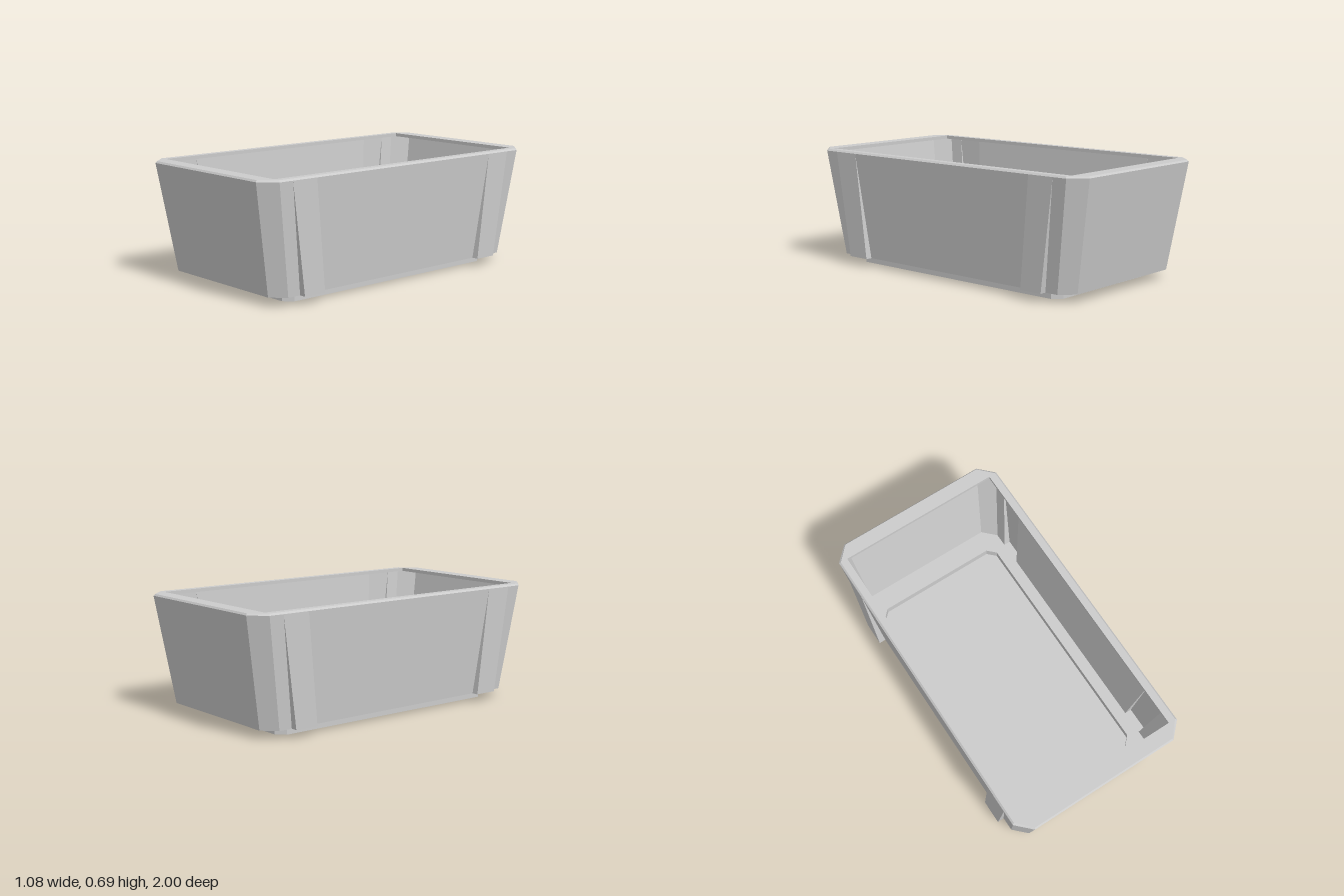
import * as THREE from 'three';

const material = new THREE.MeshStandardMaterial({ color: 0xcccccc, flatShading: true, side: THREE.DoubleSide });

// Mirrors one quarter outline (x, z > 0) into a full counterclockwise loop
function mirrorQuarter(quarter) {
  const flip = (sx, sz) => quarter.map(([x, z]) => [x * sx, z * sz]);
  return [...flip(1, 1), ...flip(-1, 1).reverse(), ...flip(-1, -1), ...flip(1, -1).reverse()];
}

// Rectangle with cut corners: half sizes x, z and where the cuts start cx, cz
const octagon = (x, z, cx, cz) => mirrorQuarter([[x, cz], [cx, z]]);

// Outline of the tub with a rib near each corner of the long sides
const ribbed = (x, z, cx, cz, ribX, rib0, rib1) =>
  mirrorQuarter([[x, rib0], [ribX, rib0], [ribX, rib1], [x, rib1], [x, cz], [cx, z]]);

// Side surface through loops of equal point count, given as [y, loop]
function loft(name, rings) {
  const positions = [];
  const addTriangle = (a, b, c) => {
    const area = b.clone().sub(a).cross(c.clone().sub(a)).length();
    if (area > 1e-7) [a, b, c].forEach((p) => positions.push(p.x, p.y, p.z));
  };
  for (let r = 0; r + 1 < rings.length; r++) {
    const [lower, upper] = [rings[r], rings[r + 1]].map(([y, loop]) =>
      loop.map(([x, z]) => new THREE.Vector3(x, y, -z)));
    lower.forEach((a, i) => {
      const j = (i + 1) % lower.length;
      addTriangle(a, lower[j], upper[j]);
      addTriangle(a, upper[j], upper[i]);
    });
  }
  const geometry = new THREE.BufferGeometry();
  geometry.setAttribute('position', new THREE.Float32BufferAttribute(positions, 3));
  geometry.computeVertexNormals();
  const mesh = new THREE.Mesh(geometry, material);
  mesh.name = name;
  return mesh;
}

// Level surface bounded by a loop, with an optional hole
function flat(name, y, loop, hole) {
  const toVectors = (points) => points.map(([x, z]) => new THREE.Vector2(x, z));
  const shape = new THREE.Shape(toVectors(loop));
  if (hole) shape.holes.push(new THREE.Path(toVectors(hole)));
  const geometry = new THREE.ShapeGeometry(shape).rotateX(-Math.PI / 2).translate(0, y, 0);
  const mesh = new THREE.Mesh(geometry, material);
  mesh.name = name;
  return mesh;
}

export function createModel() {
  const group = new THREE.Group();
  group.name = 'planterTub';

  const foot = octagon(0.415, 0.768, 0.367, 0.72);
  const tubBottom = ribbed(0.485, 0.895, 0.41, 0.82, 0.525, 0.6, 0.74);
  const tubTop = ribbed(0.54, 1.0, 0.455, 0.915, 0.54, 0.665, 0.827);
  const rimEdge = octagon(0.54, 1.0, 0.455, 0.915);
  const rimTop = octagon(0.53, 0.992, 0.45, 0.908);
  const rimUnder = octagon(0.538, 0.997, 0.454, 0.912);
  const opening = mirrorQuarter([[0.488, 0.908]]);

  // Sunken foot
  group.add(flat('footFloor', 0, foot));
  group.add(loft('footWall', [[0, foot], [0.05, foot]]));

  // Flared tub whose ribs fade into the walls towards the rim
  group.add(flat('ledge', 0.05, tubBottom, foot));
  group.add(loft('tubWall', [[0.05, tubBottom], [0.675, tubTop]]));

  // Rim with a bevelled edge and a rectangular opening
  group.add(loft('rimBevel', [[0.675, rimEdge], [0.685, rimTop]]));
  group.add(flat('rimTop', 0.685, rimTop, opening));
  group.add(loft('rimLip', [[0.685, opening], [0.665, opening]]));
  group.add(flat('rimUnderside', 0.665, rimUnder, opening));

  return group;
}
